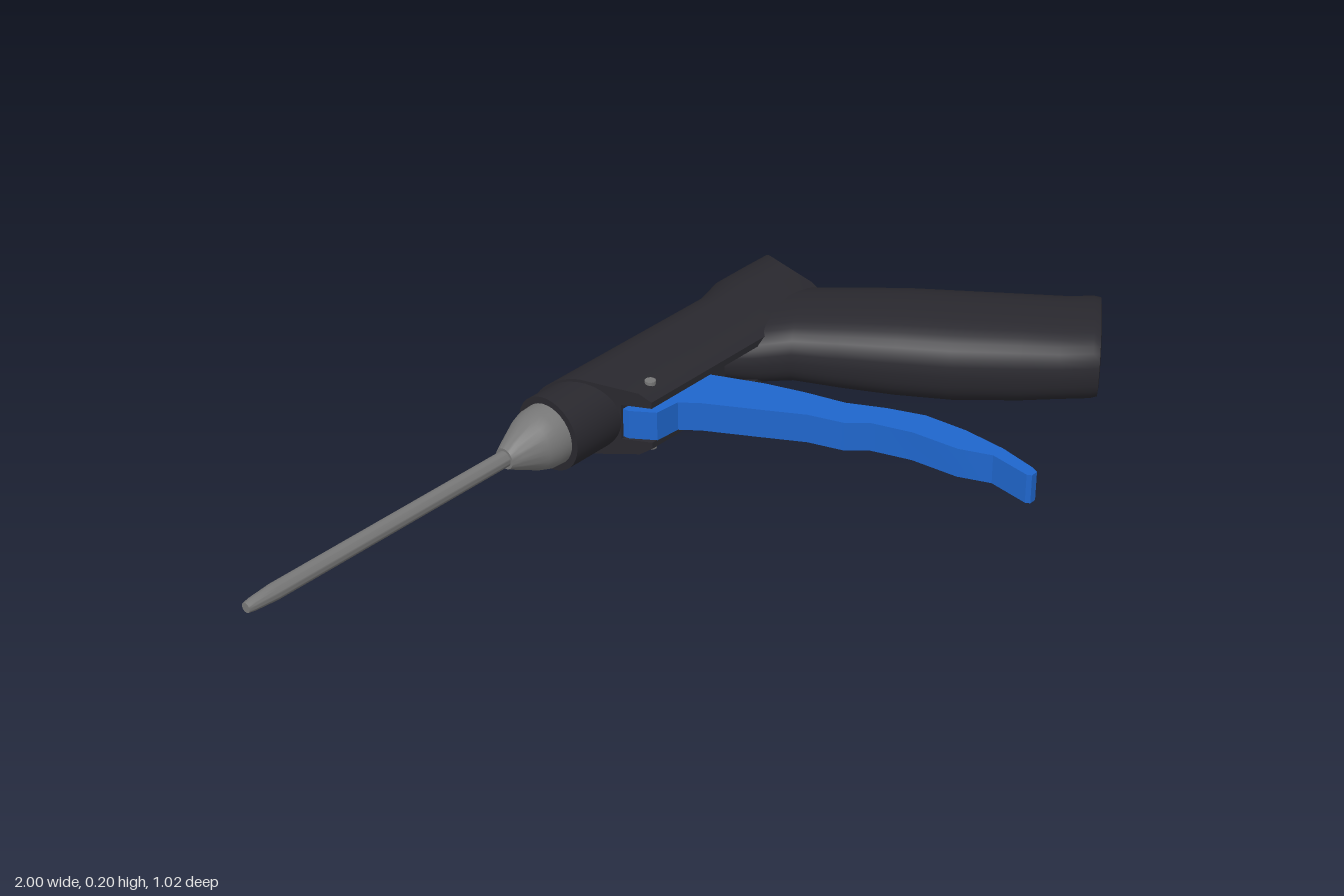
import * as THREE from 'three';
import { toCreasedNormals } from 'three/addons/utils/BufferGeometryUtils.js';

const CY = 0.105;      // mid height of the tool lying on its side
const AXIS_Z = -0.39;  // barrel axis

const mat = (color) => new THREE.MeshStandardMaterial({ color });

// Skin a list of equal-length loops of Vector3 and cap both ends
function loft(rings, crease = 0.6) {
  const n = rings[0].length;
  const pts = rings.flat();
  const tris = [];
  for (let i = 0; i < rings.length - 1; i++) {
    for (let j = 0; j < n; j++) {
      const a = i * n + j, b = i * n + (j + 1) % n;
      tris.push([a, b, b + n], [a, b + n, a + n]);
    }
  }
  const cap = (k, flip) => {
    const flat = rings[k].map((p) => new THREE.Vector2(p.z, p.y));
    const sign = Math.sign(THREE.ShapeUtils.area(flat));
    for (const [a, b, c] of THREE.ShapeUtils.triangulateShape(flat.slice(), [])) {
      const same = Math.sign(THREE.ShapeUtils.area([flat[a], flat[b], flat[c]])) === sign;
      const t = [a, b, c].map((v) => v + k * n);
      tris.push(same !== flip ? t : t.reverse());
    }
  };
  cap(0, true);
  cap(rings.length - 1, false);
  // Turn the skin outwards if the loops ran the other way
  const cross = new THREE.Vector3();
  let volume = 0;
  for (const [a, b, c] of tris) volume += pts[a].dot(cross.crossVectors(pts[b], pts[c]));
  if (volume < 0) tris.forEach((t) => t.reverse());
  const geo = new THREE.BufferGeometry().setFromPoints(pts);
  geo.setIndex(tris.flat());
  return toCreasedNormals(geo, crease);
}

// Housing section: rounded back, flat front with a trigger slot
function bodyRing({ xb, xf, zb, zf, w, wf, slot = 0.001, bend = 0 }) {
  const loop = [];
  const zc = -0.385;
  for (let i = 0; i <= 20; i++) {
    const a = (i / 20) * Math.PI;
    loop.push([zc - (zc - zb) * Math.sin(a), w * Math.cos(a)]);
  }
  const s = 0.042;
  loop.push([zf - 0.025, -wf], [zf, -wf + 0.018], [zf, -s], [zf - slot, -s]);
  loop.push([zf - slot, s], [zf, s], [zf, wf - 0.018], [zf - 0.025, wf]);
  return loop.map(([z, y]) => {
    const t = (z - zb) / (zf - zb);
    return new THREE.Vector3(xb + (xf - xb) * t + bend * Math.sin(Math.PI * t), CY + y, z);
  });
}

// Grip section: superellipse between the front and the rear edge
function gripRing([lx, lz, rx, rz, w]) {
  const pow = (v) => Math.sign(v) * Math.abs(v) ** 0.8;
  return Array.from({ length: 36 }, (_, i) => {
    const a = (i / 36) * Math.PI * 2;
    const u = 0.5 + 0.5 * pow(Math.cos(a));
    return new THREE.Vector3(lx + (rx - lx) * u, CY + w * pow(Math.sin(a)), lz + (rz - lz) * u);
  });
}

// Turned part along the barrel axis from [x, radius] pairs
function turned(profile) {
  const geo = new THREE.LatheGeometry(profile.map(([x, r]) => new THREE.Vector2(r, x)), 32);
  geo.rotateZ(-Math.PI / 2);
  geo.translate(0, CY, AXIS_Z);
  return toCreasedNormals(geo, 0.5);
}

export function createModel() {
  const group = new THREE.Group();
  const dark = mat(0x29282e), steel = mat(0x777777), blue = mat(0x1f66cc);
  const add = (name, geo, material) => {
    const mesh = new THREE.Mesh(geo, material);
    mesh.name = name;
    group.add(mesh);
  };

  // Barrel, nose cone and collar
  add('barrel', turned([[-1, 0], [-1, 0.011], [-0.985, 0.014], [-0.93, 0.018], [-0.28, 0.018]]), steel);
  add('noseCone', turned([[-0.3, 0], [-0.3, 0.024], [-0.28, 0.034], [-0.225, 0.06],
    [-0.2, 0.068], [-0.16, 0.07]]), steel);
  add('collar', turned([[-0.17, 0], [-0.17, 0.085], [0.03, 0.085], [0.03, 0]]), dark);

  // Housing with slanted front end and flared rear
  const base = { zb: -0.48, zf: -0.245, w: 0.092, wf: 0.075 };
  add('housing', loft([
    { ...base, xb: -0.125, xf: -0.005, slot: 0.06 },
    { ...base, xb: 0.1, xf: 0.12, slot: 0.06 },
    { ...base, xb: 0.36, xf: 0.36, slot: 0.06 },
    { ...base, xb: 0.365, xf: 0.365 },
    { ...base, xb: 0.39, xf: 0.39 },
    { ...base, xb: 0.48, xf: 0.46, zb: -0.51, w: 0.093 },
    { ...base, xb: 0.56, xf: 0.53, zb: -0.511, zf: -0.26, w: 0.093 },
    { ...base, xb: 0.67, xf: 0.6, zb: -0.511, zf: -0.28, w: 0.092, bend: -0.04 },
  ].map(bodyRing)), dark);

  // Grip, swelling in the middle, with a softly rounded butt
  add('grip', loft([
    [0.28, -0.29, 0.585, -0.4, 0.07],
    [0.33, -0.235, 0.595, -0.355, 0.078],
    [0.385, -0.19, 0.615, -0.325, 0.082],
    [0.435, -0.1, 0.68, -0.23, 0.091],
    [0.495, 0.005, 0.75, -0.13, 0.098],
    [0.56, 0.11, 0.83, -0.01, 0.1],
    [0.655, 0.23, 0.9, 0.085, 0.097],
    [0.71, 0.295, 0.95, 0.145, 0.092],
    [0.76, 0.347, 0.99, 0.19, 0.092],
    [0.772, 0.357, 0.998, 0.202, 0.088],
    [0.79, 0.347, 0.984, 0.214, 0.074],
  ].map(gripRing)), dark);

  // Curved trigger lever
  const front = [[0.06, -0.23], [0.09, -0.19], [0.15, -0.08], [0.2, 0.01], [0.225, 0.09], [0.26, 0.13],
    [0.288, 0.22], [0.298, 0.33], [0.325, 0.4], [0.31, 0.495], [0.315, 0.505]];
  const rear = [[0.332, 0.505], [0.34, 0.49], [0.36, 0.4], [0.367, 0.3], [0.36, 0.2], [0.33, 0.12],
    [0.29, 0.04], [0.268, -0.05], [0.24, -0.14], [0.185, -0.27]];
  const outline = [[-0.012, -0.3], [-0.035, -0.3], [-0.033, -0.285], [0, -0.235], ...front, ...rear];
  const shape = new THREE.Shape(outline.map(([x, z]) => new THREE.Vector2(x, -z)));
  const lever = new THREE.ExtrudeGeometry(shape, { depth: 0.068, bevelEnabled: false });
  lever.rotateX(-Math.PI / 2);
  lever.translate(0, CY - 0.034, 0);
  add('trigger', toCreasedNormals(lever, 0.4), blue);

  // Pivot pin through housing and trigger
  const pin = new THREE.CylinderGeometry(0.012, 0.012, 0.166, 16);
  pin.translate(0.03, CY, -0.28);
  add('pivotPin', toCreasedNormals(pin, 0.6), steel);

  return group;
}
